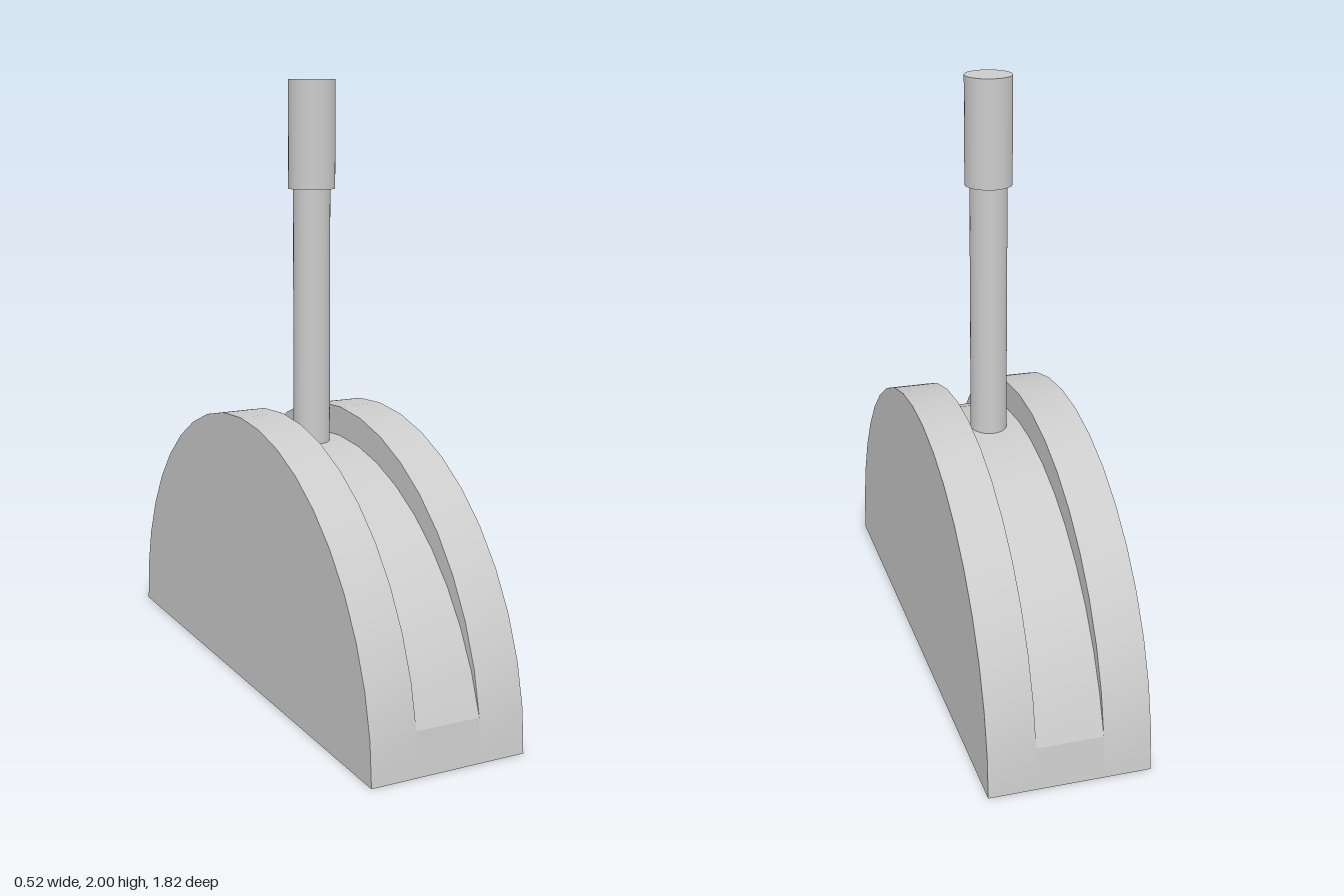
import * as THREE from 'three';
import { toCreasedNormals } from 'three/addons/utils/BufferGeometryUtils.js';

const RADIUS = 0.91, HALF_WIDTH = 0.262, SLOT = 0.108, SLOT_TOP = 0.81, STEPS = 20;

export function createModel() {
  const model = new THREE.Group();
  const material = new THREE.MeshStandardMaterial({ color: 0xcccccc });

  const add = (name, geometry, x = 0, y = 0) => {
    const mesh = new THREE.Mesh(geometry, material);
    mesh.name = name;
    mesh.position.set(x, y, 0);
    model.add(mesh);
  };

  // Points on an arc centred at height cy
  const arc = (radius, cy, start, end, steps) =>
    Array.from({ length: steps + 1 }, (_, i) => {
      const a = start + (end - start) * i / steps;
      return new THREE.Vector2(radius * Math.cos(a), cy + radius * Math.sin(a));
    });

  // Side profile extruded across the width, smooth along the curve
  const slab = (points, width) => {
    const geometry = new THREE.ExtrudeGeometry(new THREE.Shape(points), { depth: width, bevelEnabled: false });
    geometry.translate(0, 0, -width / 2).rotateY(Math.PI / 2);
    return toCreasedNormals(geometry, 0.22);
  };

  // Half-disc cheeks on both sides of the slot
  const outer = arc(RADIUS, 0, 0, Math.PI, STEPS);
  const cheekWidth = HALF_WIDTH - SLOT;
  for (const side of [1, -1]) {
    add(side > 0 ? 'leftCheek' : 'rightCheek', slab(outer, cheekWidth), side * (SLOT + cheekWidth / 2));
  }

  // Core with a flatter arc as slot floor, meeting the rim one step above each end
  const rim = outer[1];
  const rise = SLOT_TOP - rim.y;
  const floorRadius = (rim.x ** 2 + rise ** 2) / (2 * rise);
  const floorY = SLOT_TOP - floorRadius;
  const start = Math.atan2(rim.y - floorY, rim.x);
  const floor = arc(floorRadius, floorY, start, Math.PI - start, STEPS - 2);
  add('slotCore', slab([outer[0], ...floor, outer[STEPS]], SLOT * 2));

  // Lever rod and grip
  add('leverRod', new THREE.CylinderGeometry(0.061, 0.061, 0.9, 32), 0, 1.23);
  add('leverGrip', new THREE.CylinderGeometry(0.077, 0.077, 0.35, 32), 0, 1.825);

  return model;
}
